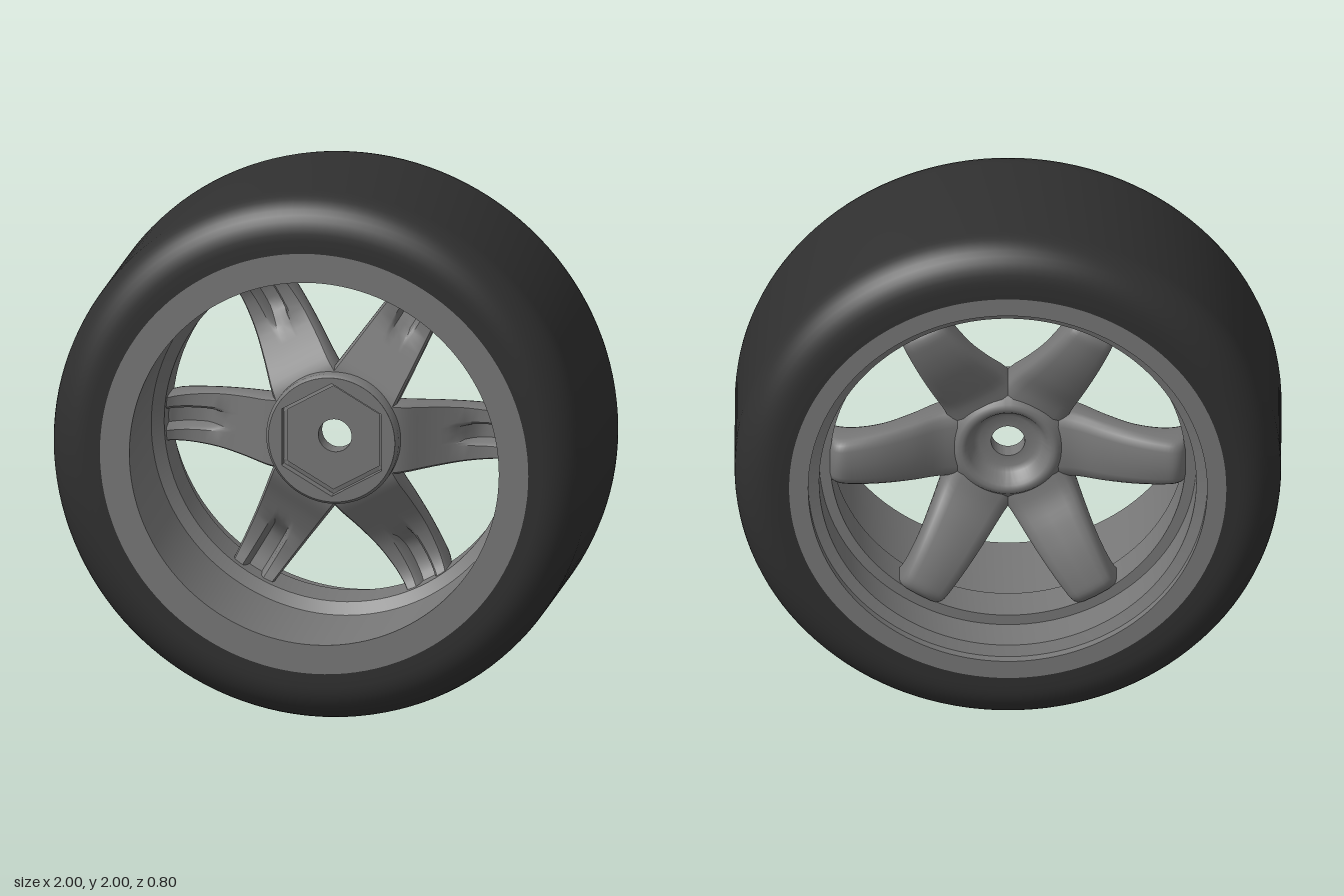
import * as THREE from 'three';
import { toCreasedNormals } from 'three/addons/utils/BufferGeometryUtils.js';

const rubber = new THREE.MeshStandardMaterial({ color: 0x303030 });
rubber.name = 'black rubber';
const alloy = new THREE.MeshStandardMaterial({ color: 0x777777 });
alloy.name = 'grey alloy';

// Revolve a [radius, z] profile around the z axle
function revolve(name, profile, material, crease = 0.5) {
  const pts = profile.map(([r, z]) => new THREE.Vector2(r, z));
  const geo = new THREE.LatheGeometry(pts, 128).rotateX(Math.PI / 2);
  const mesh = new THREE.Mesh(toCreasedNormals(geo, crease), material);
  mesh.name = name;
  return mesh;
}

// Tyre: flat tread with rounded shoulders
function tyreProfile() {
  const pts = [[0.8, -0.4]];
  const corner = (cz, start) => {
    for (let i = 0; i <= 10; i++) {
      const a = start + (i / 10) * Math.PI / 2;
      pts.push([0.85 + 0.15 * Math.cos(a), cz + 0.15 * Math.sin(a)]);
    }
  };
  corner(-0.25, -Math.PI / 2);
  corner(0.25, 0);
  pts.push([0.8, 0.4]);
  return pts;
}

// Spoke: cross-sections along the radius; an arched back and a grooved front
function spokeGeometry() {
  const path = (list) => new THREE.CatmullRomCurve3(list.map(([r, z]) => new THREE.Vector3(r, z, 0)));
  // [radius, back z] and [radius, front z]
  const back = path([[0.17, -0.095], [0.25, -0.115], [0.35, -0.165], [0.46, -0.21], [0.56, -0.235], [0.615, -0.238], [0.645, -0.215], [0.657, -0.17]]);
  const front = path([[0.17, 0.045], [0.25, 0.025], [0.35, -0.04], [0.46, -0.095], [0.56, -0.105], [0.615, -0.09], [0.645, -0.07], [0.657, -0.06]]);
  const steps = 28;
  const pos = [], index = [];
  let n = 0;
  for (let i = 0; i <= steps; i++) {
    const { x: r, y: zb } = back.getPoint(i / steps);
    const zf = front.getPoint(i / steps).y;
    const h = 0.14 - (r - 0.17) * 0.113;
    const g = 0.055 * THREE.MathUtils.smoothstep(r, 0.41, 0.52);
    const half = [[0, zb], [0.6 * h, zb + 0.004], [0.85 * h, zb + 0.014], [0.96 * h, zb + 0.028], [h, zb + 0.048],
      [h, zf - 0.015], [0.93 * h, zf], [0.045, zf], [0.035, zf - 0.25 * g], [0.026, zf - g], [0, zf - g]];
    const mirrored = half.slice(1, -1).reverse().map(([w, z]) => [-w, z]);
    const loop = [...half, ...mirrored];
    n = loop.length;
    loop.forEach(([w, z]) => pos.push(r, w, z));
  }
  for (let i = 0; i < steps; i++) {
    for (let j = 0; j < n; j++) {
      const a = i * n + j, b = i * n + (j + 1) % n;
      index.push(a, b, a + n, b, b + n, a + n);
    }
  }
  const geo = new THREE.BufferGeometry();
  geo.setAttribute('position', new THREE.Float32BufferAttribute(pos, 3));
  geo.setIndex(index);
  return toCreasedNormals(geo, 0.7);
}

// Hub face: disc with a hexagonal socket
function hubFace() {
  const shape = new THREE.Shape().absarc(0, 0, 0.236, 0, Math.PI * 2, false);
  const hex = [];
  for (let k = 0; k < 6; k++) {
    const a = Math.PI / 2 + k * Math.PI / 3;
    hex.push(new THREE.Vector2(0.215 * Math.cos(a), 0.215 * Math.sin(a)));
  }
  shape.holes.push(new THREE.Path(hex));
  const geo = new THREE.ExtrudeGeometry(shape, { depth: 0.06, bevelEnabled: false, curveSegments: 64 });
  const mesh = new THREE.Mesh(geo.translate(0, 0, 0.02), alloy);
  mesh.name = 'hexSocket';
  return mesh;
}

export function createModel() {
  const model = new THREE.Group();
  model.name = 'wheel';
  const wheel = new THREE.Group();
  wheel.name = 'wheelAssembly';
  wheel.position.y = 1;
  model.add(wheel);

  wheel.add(revolve('tyre', tyreProfile(), rubber));

  // Rim: front lip, deep barrel, inner ring, stepped back lip
  wheel.add(revolve('rim', [
    [0.8, 0.4], [0.69, 0.4], [0.69, 0], [0.65, -0.04], [0.65, -0.2],
    [0.69, -0.2], [0.69, -0.35], [0.73, -0.365], [0.73, -0.4], [0.8, -0.4],
  ], alloy));

  // Hub: socket floor, axle bore, dished back and outer wall
  wheel.add(revolve('hub', [
    [0.225, 0.02], [0.062, 0.02], [0.062, -0.05], [0.105, -0.05], [0.125, -0.062],
    [0.145, -0.1], [0.155, -0.112], [0.17, -0.117], [0.187, -0.112], [0.2, -0.095],
    [0.238, -0.075], [0.247, -0.05], [0.247, 0.066], [0.235, 0.08],
  ], alloy, 0.8));
  wheel.add(hubFace());

  // Six spokes
  const spokeGeo = spokeGeometry();
  for (let k = 0; k < 6; k++) {
    const spoke = new THREE.Mesh(spokeGeo, alloy);
    spoke.name = 'spoke' + (k + 1);
    spoke.rotation.z = k * Math.PI / 3;
    wheel.add(spoke);
  }
  return model;
}
